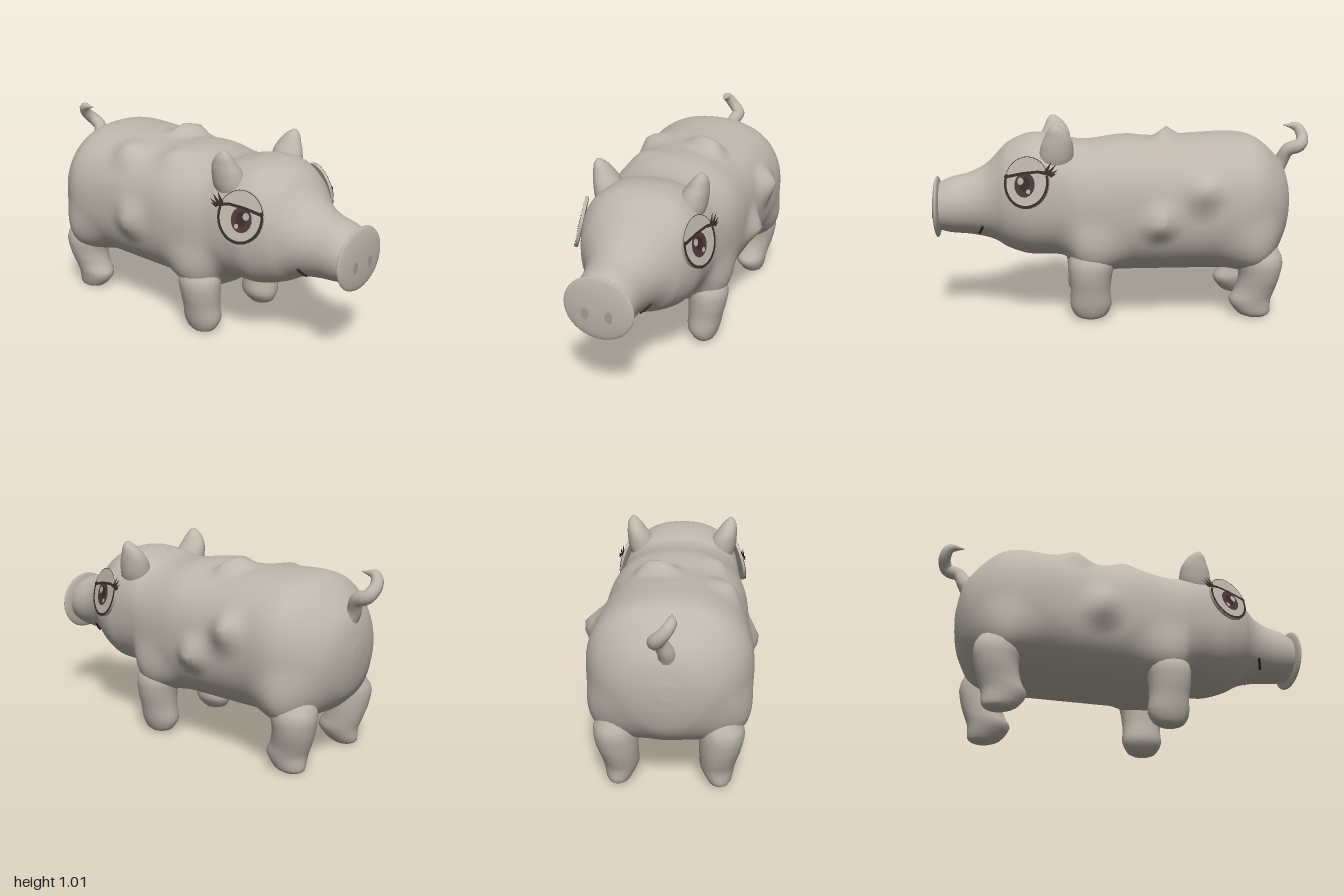
import * as THREE from 'three';

const mat = (name, color, double) => {
  const m = new THREE.MeshStandardMaterial({ color });
  m.name = name;
  if (double) m.side = THREE.DoubleSide;
  return m;
};
const V = (x, y, z) => new THREE.Vector3(x, y, z);

// Smoothly resample a table of cross-sections to n + 1 rows
function resample(rows, n) {
  const out = [];
  for (let k = 0; k <= n; k++) {
    const t = (k / n) * (rows.length - 1), i = Math.min(Math.floor(t), rows.length - 2), f = t - i;
    const at = (j) => rows[Math.max(0, Math.min(rows.length - 1, j))];
    out.push(rows[0].map((_, c) => {
      const a = at(i - 1)[c], b = at(i)[c], d = at(i + 1)[c], e = at(i + 2)[c];
      return b + 0.5 * f * (d - a + f * (2 * a - 5 * b + 4 * d - e + f * (3 * (b - d) + e - a)));
    }));
  }
  return out;
}

// Skin a list of rings and close both ends
function loft(rings) {
  const pos = [], idx = [], n = rings[0].length, last = (rings.length - 1) * n;
  rings.forEach((r) => r.forEach((p) => pos.push(p.x, p.y, p.z)));
  for (let i = 0; i < rings.length - 1; i++) for (let j = 0; j < n; j++) {
    const a = i * n + j, b = i * n + (j + 1) % n;
    idx.push(a, b, a + n, b, b + n, a + n);
  }
  [rings[0], rings[rings.length - 1]].forEach((r, e) => {
    const c = r.reduce((s, p) => s.add(p), V(0, 0, 0)).divideScalar(n), ci = pos.length / 3;
    pos.push(c.x, c.y, c.z);
    for (let j = 0; j < n; j++) {
      const k = (j + 1) % n;
      if (e) idx.push(ci, last + j, last + k); else idx.push(ci, k, j);
    }
  });
  const g = new THREE.BufferGeometry();
  g.setAttribute('position', new THREE.Float32BufferAttribute(pos, 3));
  g.setIndex(idx);
  g.computeVertexNormals();
  return g;
}

const circle = (n, fn) => Array.from({ length: n }, (_, j) => {
  const a = (j / n) * Math.PI * 2;
  return fn(Math.cos(a), Math.sin(a));
});

// Upright limb from rows of [y, x, z, radius x, radius z]
const limb = (rows, s) => loft(resample(rows, 18).map(([y, x, z, rx, rz]) =>
  circle(18, (c, d) => V(x + d * rx, y, s * z + c * rz))));

// Trunk sections: [x, top, bottom, half width, squareness]
const TRUNK = [
  [-0.885, 0.63, 0.55, 0.04, 2], [-0.87, 0.72, 0.45, 0.14, 2], [-0.84, 0.79, 0.36, 0.225, 2],
  [-0.78, 0.86, 0.29, 0.31, 2.1], [-0.7, 0.92, 0.25, 0.37, 2.3], [-0.6, 0.945, 0.23, 0.4, 2.3],
  [-0.4, 0.94, 0.23, 0.385, 2.4], [-0.2, 0.925, 0.23, 0.375, 2.4], [0, 0.935, 0.23, 0.37, 2.4],
  [0.15, 0.915, 0.23, 0.355, 2.4], [0.24, 0.915, 0.24, 0.34, 2.4], [0.31, 0.935, 0.305, 0.325, 2.4],
  [0.4, 0.95, 0.315, 0.315, 2.4], [0.5, 0.945, 0.32, 0.305, 2.4], [0.6, 0.9, 0.35, 0.265, 2.2],
  [0.66, 0.84, 0.385, 0.22, 2.1], [0.72, 0.785, 0.405, 0.185, 2], [0.8, 0.745, 0.42, 0.16, 2],
  [0.9, 0.72, 0.43, 0.147, 2], [0.96, 0.69, 0.445, 0.13, 2], [0.975, 0.68, 0.45, 0.12, 2],
];

// Pointed hide lumps: [x, y, z, reach, height]
const LUMPS = [
  [-0.23, 0.925, -0.05, 0.1, 0.06], [-0.2, 0.915, -0.13, 0.1, 0.06], [-0.05, 0.89, 0.2, 0.11, 0.025],
  [-0.32, 0.86, 0.25, 0.13, 0.05], [-0.2, 0.56, 0.375, 0.14, 0.06],
  [-0.16, 0.53, -0.375, 0.12, 0.065], [-0.38, 0.68, -0.365, 0.13, 0.075],
];

// Soft shoulder and haunch swellings that run into the legs
const SWELLS = [1, -1].flatMap((s) => [
  [0.17, 0.34, s * 0.28, 0.22, 0.055], [-0.68, 0.34, s * 0.29, 0.24, 0.065]]);

function trunk() {
  return loft(resample(TRUNK, 140).map(([x, top, bot, w, e]) => {
    const cy = (top + bot) / 2, h = (top - bot) / 2;
    const pw = (c) => Math.sign(c) * Math.abs(c) ** (2 / e);
    return circle(80, (c, d) => {
      const p = V(x, cy + h * pw(c), w * pw(d)), dir = V(0, p.y - cy, p.z).normalize();
      const near = ([lx, ly, lz, r]) => Math.max(0, 1 - p.distanceTo(V(lx, ly, lz)) / r);
      let push = 0;
      for (const l of LUMPS) push += l[4] * near(l) ** 1.4;
      for (const l of SWELLS) push += l[4] * THREE.MathUtils.smoothstep(near(l), 0, 1);
      return p.addScaledVector(dir, push);
    });
  }));
}

function tail() {
  const curve = new THREE.CatmullRomCurve3([
    V(-0.79, 0.7, 0), V(-0.85, 0.78, 0), V(-0.885, 0.85, -0.03), V(-0.945, 0.875, -0.04),
    V(-0.965, 0.92, 0), V(-0.945, 0.963, 0.03), V(-0.87, 0.975, 0.03)]);
  const n = 36, f = curve.computeFrenetFrames(n);
  const radii = resample([[0.065], [0.045], [0.035], [0.036], [0.032], [0.026], [0.003]], n);
  return loft(radii.map(([r], i) => circle(10, (c, d) => curve.getPointAt(i / n)
    .addScaledVector(f.normals[i], c * r).addScaledVector(f.binormals[i], d * r))));
}

export function createModel() {
  const root = new THREE.Group();
  const skin = mat('skin', 0xbeb6ab), nostrilMat = mat('nostril', 0xa59c92, true);
  const dark = mat('eyeLine', 0x3a2c29, true), iris = mat('iris', 0x4c3a36, true);
  const light = mat('eyeShine', 0xb8afa6, true);
  const add = (parent, name, geo, m) => {
    const mesh = new THREE.Mesh(geo, m);
    mesh.name = name;
    parent.add(mesh);
  };

  add(root, 'body', trunk(), skin);
  add(root, 'tail', tail(), skin);

  // Lens-shaped snout disc
  add(root, 'snout', new THREE.SphereGeometry(1, 40, 24).rotateZ(-Math.PI / 2)
    .scale(0.023, 0.16, 0.174).translate(0.969, 0.565, 0), skin);

  for (const s of [1, -1]) {
    const tag = s > 0 ? 'Left' : 'Right';

    // Nostril
    add(root, 'nostril' + tag, new THREE.CircleGeometry(1, 20)
      .scale(0.019, 0.03, 1).rotateY(Math.PI / 2).translate(0.993, 0.538, s * 0.058), nostrilMat);

    // Legs, tapering into the trunk at the top
    add(root, 'foreleg' + tag, limb([
      [0.012, 0.18, 0.235, 0.05, 0.04], [0.028, 0.18, 0.235, 0.08, 0.055], [0.08, 0.18, 0.228, 0.106, 0.083],
      [0.16, 0.182, 0.238, 0.103, 0.09], [0.24, 0.182, 0.247, 0.11, 0.1],
      [0.33, 0.175, 0.245, 0.115, 0.1], [0.46, 0.16, 0.2, 0.07, 0.06]], s), skin);
    add(root, 'hindLeg' + tag, limb([
      [0.005, -0.68, 0.245, 0.05, 0.04], [0.025, -0.67, 0.245, 0.085, 0.06], [0.09, -0.65, 0.235, 0.11, 0.086],
      [0.15, -0.675, 0.24, 0.106, 0.093], [0.23, -0.695, 0.25, 0.108, 0.105],
      [0.33, -0.69, 0.25, 0.118, 0.108], [0.46, -0.65, 0.2, 0.08, 0.07]], s), skin);

    // Ear
    add(root, 'ear' + tag, limb([
      [0.72, 0.36, 0.19, 0.05, 0.04], [0.82, 0.352, 0.213, 0.085, 0.07], [0.9, 0.346, 0.23, 0.083, 0.068],
      [0.95, 0.343, 0.247, 0.066, 0.052], [0.99, 0.35, 0.26, 0.042, 0.035],
      [1.017, 0.358, 0.266, 0.014, 0.012]], s), skin);

    // Mouth corner
    add(root, 'mouth' + tag, new THREE.TubeGeometry(new THREE.CatmullRomCurve3([
      V(0.728, 0.49, s * 0.153), V(0.737, 0.465, s * 0.134), V(0.75, 0.442, s * 0.105)]), 8, 0.007, 6), dark);

    // Eye plate, facing outward and slightly forward and up
    const eye = new THREE.Group();
    eye.name = 'eye' + tag;
    const nrm = V(0.34, 0.25, s).normalize();
    const up = V(0, 1, 0).addScaledVector(nrm, -nrm.y).normalize();
    eye.quaternion.setFromRotationMatrix(
      new THREE.Matrix4().makeBasis(up.clone().cross(nrm), up, nrm));
    eye.position.set(0.498, 0.733, s * 0.303);
    root.add(eye);
    const RX = 0.116, RY = 0.13;
    add(eye, 'eyeball', new THREE.CylinderGeometry(1, 1, 0.014, 40)
      .rotateX(Math.PI / 2).scale(RX, RY, 1), skin);
    const ring = (inner, a, len, z) => new THREE.RingGeometry(inner, 1, 40, 1, a, len)
      .scale(RX, RY, 1).translate(0, 0, z);
    add(eye, 'eyeOutline', ring(0.975, 0, Math.PI * 2, 0.0085), dark);
    add(eye, 'lowerLid', ring(0.89, Math.PI * 0.9, Math.PI * 1.2, 0.0095), dark);

    // Iris and highlights
    const oval = (name, x, y, rx, ry, z, m) => add(eye, name,
      new THREE.CircleGeometry(1, 24).scale(rx, ry, 1).translate(s * x, y, z), m);
    oval('iris', 0.008, -0.012, 0.053, 0.062, 0.0095, iris);
    oval('pupil', 0.008, -0.008, 0.028, 0.036, 0.0102, dark);
    oval('shineLarge', 0.03, 0.006, 0.016, 0.018, 0.011, light);
    oval('shineSmall', -0.014, -0.045, 0.011, 0.012, 0.011, light);

    // Heavy upper lid line and lashes
    const plate = (name, pts, z) => add(eye, name, new THREE.ShapeGeometry(
      new THREE.Shape(pts.map(([x, y]) => new THREE.Vector2(s * x, y)))).translate(0, 0, z), dark);
    plate('upperLid', [[-0.125, 0.055], [-0.06, 0.062], [0.02, 0.052], [0.117, 0.03],
      [0.114, 0.014], [0.02, 0.038], [-0.06, 0.048], [-0.12, 0.036]], 0.0115);
    for (const [x, y, tx, ty] of [[-0.118, 0.04, -0.162, 0.07], [-0.112, 0.048, -0.15, 0.095],
      [-0.1, 0.054, -0.125, 0.108], [-0.12, 0.035, -0.155, 0.05]])
      plate('lash', [[x - 0.008, y - 0.006], [x + 0.01, y + 0.006], [tx, ty]], 0.0112);
  }
  return root;
}
